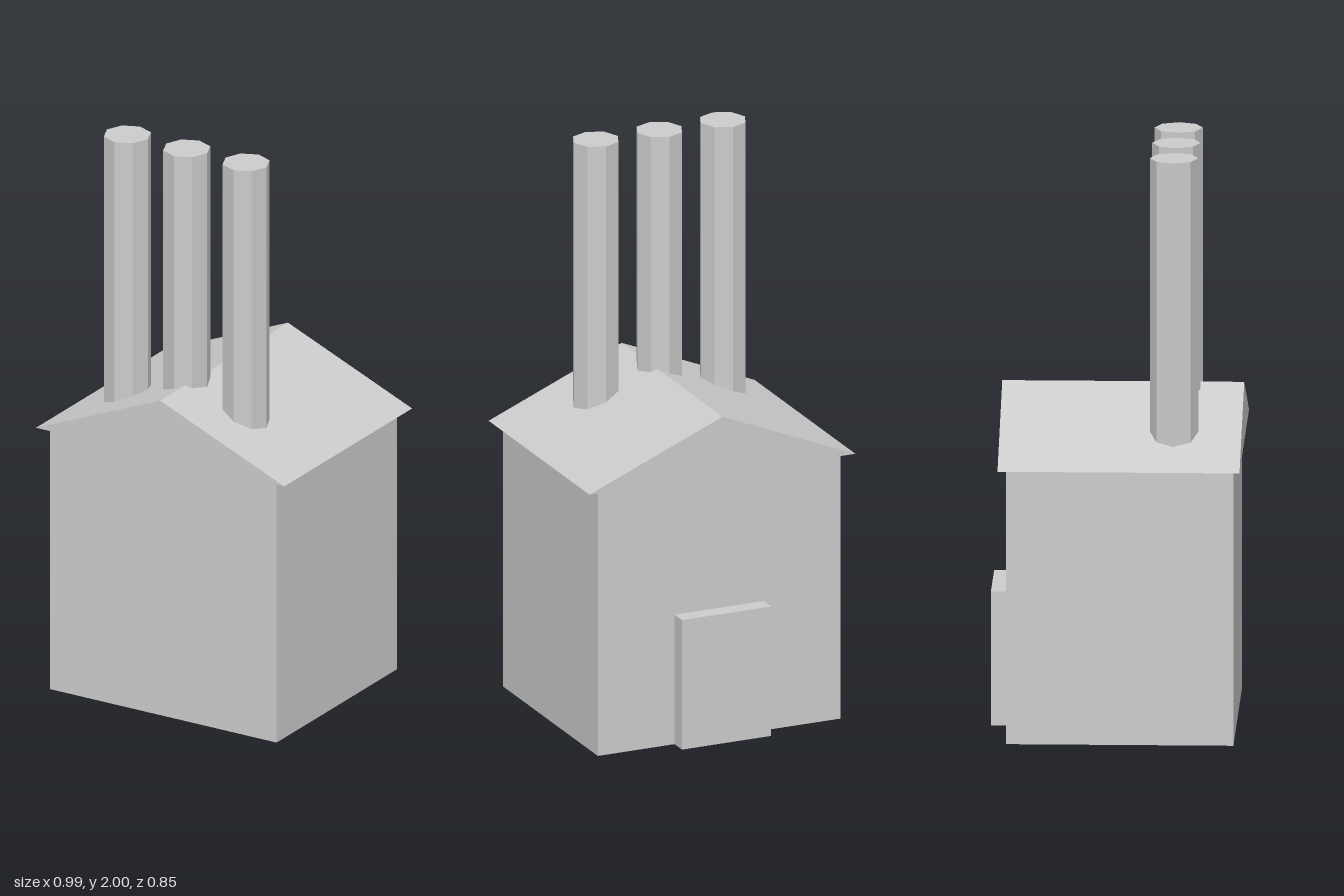
import * as THREE from 'three';

export function createModel() {
  const group = new THREE.Group();
  const grey = new THREE.MeshStandardMaterial({ color: 0xcccccc });
  grey.name = 'lightGrey';

  const add = (name, geometry, x = 0, y = 0, z = 0) => {
    // Unshared vertices keep every face flat
    const flat = geometry.index ? geometry.toNonIndexed() : geometry;
    flat.computeVertexNormals();
    const mesh = new THREE.Mesh(flat, grey);
    mesh.name = name;
    mesh.position.set(x, y, z);
    group.add(mesh);
  };

  // Box given by its lower and upper corners
  const addBox = (name, [x0, y0, z0], [x1, y1, z1]) =>
    add(name, new THREE.BoxGeometry(x1 - x0, y1 - y0, z1 - z0),
      (x0 + x1) / 2, (y0 + y1) / 2, (z0 + z1) / 2);

  // House body and the door slab on the back
  addBox('walls', [-0.455, 0, -0.366], [0.451, 0.956, 0.405]);
  addBox('door', [-0.167, 0, -0.427], [0.165, 0.466, -0.366]);

  // Gable roof with overhanging eaves
  const eaves = 0.956, ridge = 1.163, back = -0.394, front = 0.427;
  const gable = new THREE.Shape();
  gable.moveTo(-0.497, eaves);
  gable.lineTo(0.495, eaves);
  gable.lineTo(-0.001, ridge);
  gable.closePath();
  add('roof', new THREE.ExtrudeGeometry(gable, { depth: front - back, bevelEnabled: false }), 0, 0, back);

  // Row of three octagonal chimneys rising through the roof
  const base = 0.97, top = 2;
  [-0.274, -0.037, 0.2].forEach((x, i) => {
    add(`chimney${i + 1}`, new THREE.CylinderGeometry(0.082, 0.082, top - base, 8),
      x, (base + top) / 2, 0.198);
  });

  return group;
}
